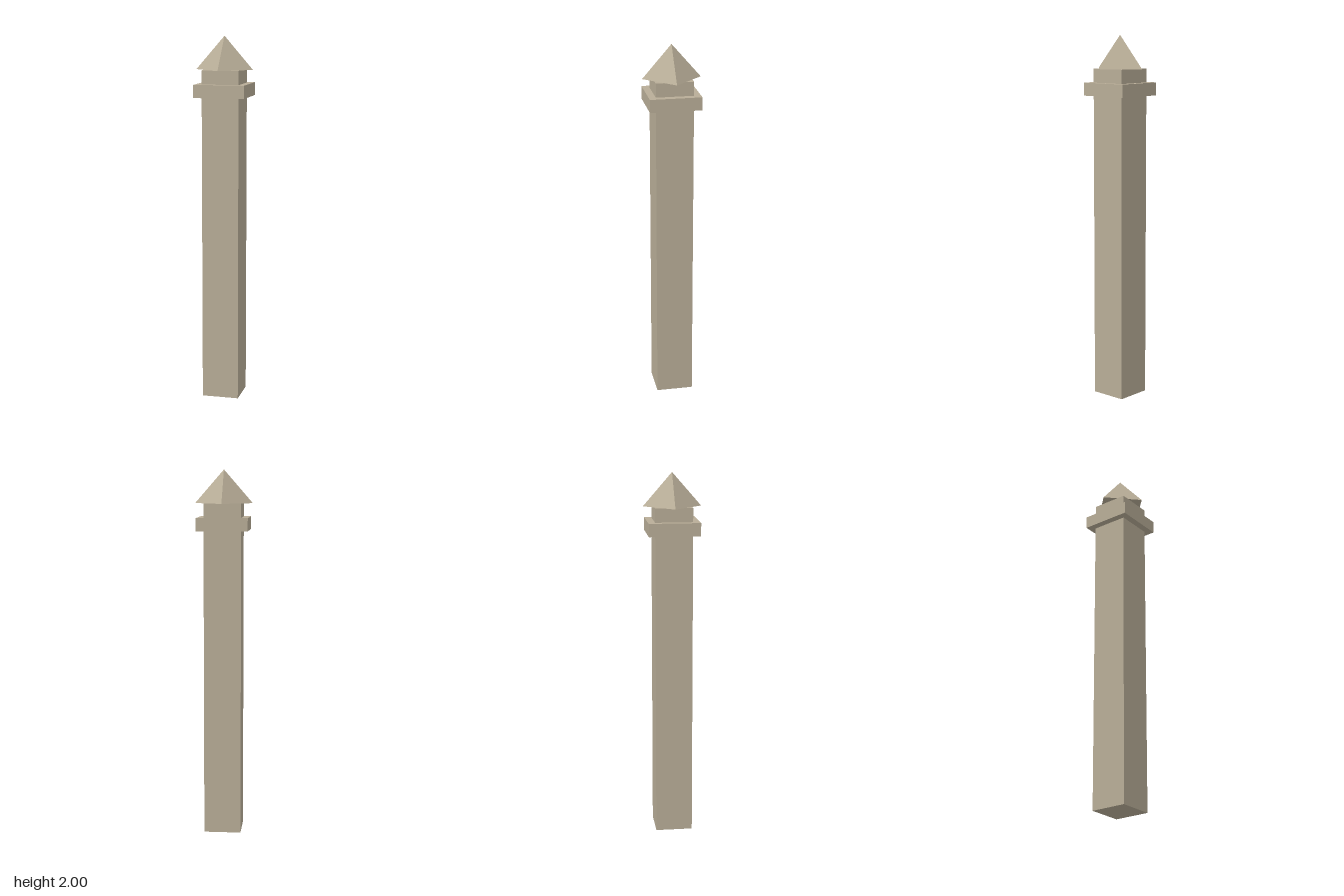
import * as THREE from 'three';

export function createModel() {
  const group = new THREE.Group();
  const stone = new THREE.MeshStandardMaterial({ color: 0xb8ad97 });
  stone.name = 'stone';

  // Adds a part whose underside sits at the given height
  const add = (name, geometry, bottom, height) => {
    const mesh = new THREE.Mesh(geometry, stone);
    mesh.name = name;
    mesh.position.y = bottom + height / 2;
    group.add(mesh);
  };
  const block = (name, width, bottom, height) =>
    add(name, new THREE.BoxGeometry(width, height, width), bottom, height);

  // Square post with a projecting collar near the top
  block('shaft', 0.202, 0, 1.82);
  block('collar', 0.277, 1.675, 0.07);

  // Four-sided pyramid, its corners turned to the sides of the post
  const capHeight = 0.18;
  const cap = new THREE.ConeGeometry(0.157, capHeight, 4).toNonIndexed();
  cap.computeVertexNormals();
  add('pyramidCap', cap, 1.82, capHeight);

  return group;
}
